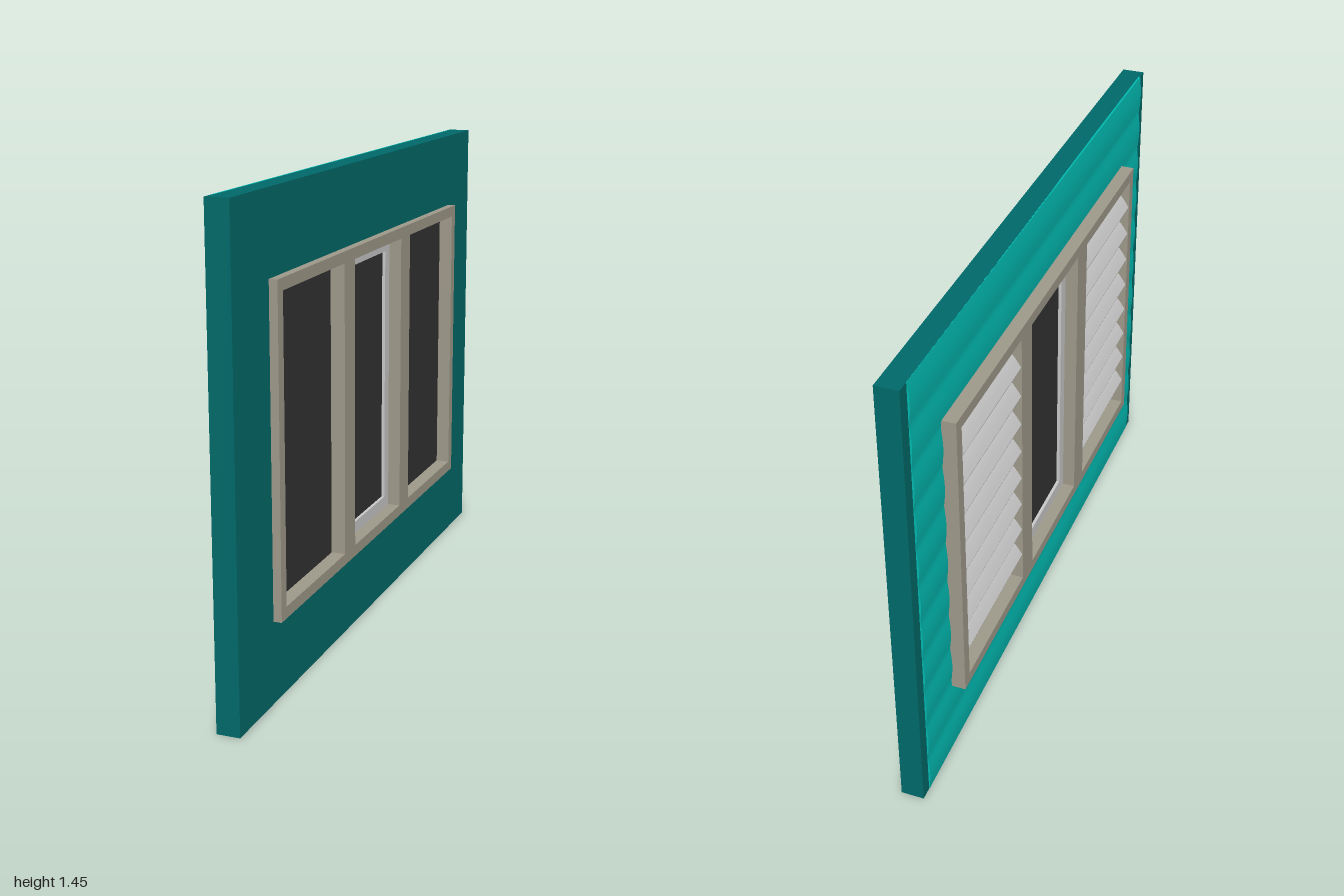
import * as THREE from 'three';
import { toCreasedNormals } from 'three/addons/utils/BufferGeometryUtils.js';

const paint = (name, color) => {
  const m = new THREE.MeshStandardMaterial({ color });
  m.name = name;
  return m;
};

export function createModel() {
  const group = new THREE.Group();
  const teal = paint('teal', 0x006868);
  const brightTeal = paint('brightTeal', 0x00b8b0);
  const taupe = paint('taupe', 0x9d9888);
  const lightGrey = paint('lightGrey', 0xc6c6c6);
  const darkGlass = paint('darkGlass', 0x323232);

  const add = (name, geometry, material, parent = group) => {
    const mesh = new THREE.Mesh(geometry, material);
    mesh.name = name;
    parent.add(mesh);
    return mesh;
  };

  // Rectangle [z0, z1, y0, y1] traced into a shape or a hole
  const rect = (path, [z0, z1, y0, y1]) => {
    path.moveTo(z0, y0);
    path.lineTo(z1, y0);
    path.lineTo(z1, y1);
    path.lineTo(z0, y1);
    path.closePath();
    return path;
  };

  // Upright slab in the y-z plane between x0 and x1, with rectangular holes.
  // Turning it maps the shape's x to -z, so z limits are mirrored (the layout is symmetric).
  const slab = (outer, holes, x0, x1) => {
    const shape = rect(new THREE.Shape(), outer);
    holes.forEach(h => shape.holes.push(rect(new THREE.Path(), h)));
    const g = new THREE.ExtrudeGeometry(shape, { depth: x1 - x0, bevelEnabled: false });
    return g.rotateY(Math.PI / 2).translate(x0, 0, 0);
  };

  // Profile in x-y run along z, with soft shading on curved faces
  const run = (points, z0, z1) => {
    const g = new THREE.ExtrudeGeometry(new THREE.Shape(points), { depth: z1 - z0, bevelEnabled: false });
    return toCreasedNormals(g.translate(0, 0, z0), 0.6);
  };

  const height = 1.445;
  const bottom = 0.28, top = 1.17;
  const bays = [[-0.737, -0.29], [-0.205, 0.205], [0.29, 0.737]];

  // Wall with an opening for the window
  add('wall', slab([-1, 1, 0, height], [[-0.76, 0.76, 0.255, 1.195]], -0.025, 0.045), teal);

  // Shallow rounded siding boards around the window
  const rows = 11;
  const bulge = y => -0.026 - 0.005 * Math.abs(Math.sin((y / height) * rows * Math.PI));
  const siding = (y0, y1, z0, z1) => {
    const steps = Math.ceil((y1 - y0) / 0.0164);
    const pts = [new THREE.Vector2(-0.02, y0), new THREE.Vector2(-0.02, y1)];
    for (let i = steps; i >= 0; i--) {
      const y = y0 + ((y1 - y0) * i) / steps;
      pts.push(new THREE.Vector2(bulge(y), y));
    }
    add('siding', run(pts, z0, z1), brightTeal);
  };
  siding(0, 0.25, -0.96, 0.96);
  siding(1.2, height, -0.96, 0.96);
  siding(0.25, 1.2, -0.96, -0.765);
  siding(0.25, 1.2, 0.765, 0.96);

  // Window frame with three bays
  add('windowFrame', slab([-0.772, 0.772, 0.245, 1.205],
    bays.map(([a, b]) => [a, b, bottom, top]), -0.07, 0.07), taupe);

  // Centre sash and its pane
  const paneArea = [-0.167, 0.167, 0.317, 1.133];
  add('centreSash', slab([-0.205, 0.205, bottom, top], [paneArea], -0.03, 0.03), lightGrey);
  add('centrePane', slab(paneArea, [], -0.02, 0.02), darkGlass);

  // Side bays: a dark pane with sloping curved slats outside it
  const slatProfile = [];
  for (let i = 0; i <= 8; i++) {
    const t = i / 8, b = 0.007 * Math.sin(Math.PI * t);
    slatProfile.push(new THREE.Vector2(0.015 - 0.083 * t - b, 0.04 - 0.08 * t + b));
  }
  for (let i = 8; i >= 0; i--) {
    const p = slatProfile[i];
    slatProfile.push(new THREE.Vector2(p.x + 0.002, p.y - 0.006));
  }
  for (const [a, b] of [bays[0], bays[2]]) {
    add('sidePane', slab([a, b, bottom, top], [], 0.004, 0.026), darkGlass);
    const shutter = new THREE.Group();
    shutter.name = 'shutter';
    group.add(shutter);
    const slat = run(slatProfile, a, b);
    for (let i = 0; i < 8; i++) add('slat', slat, lightGrey, shutter).position.y = 0.415 + 0.1 * i;
  }
  return group;
}
